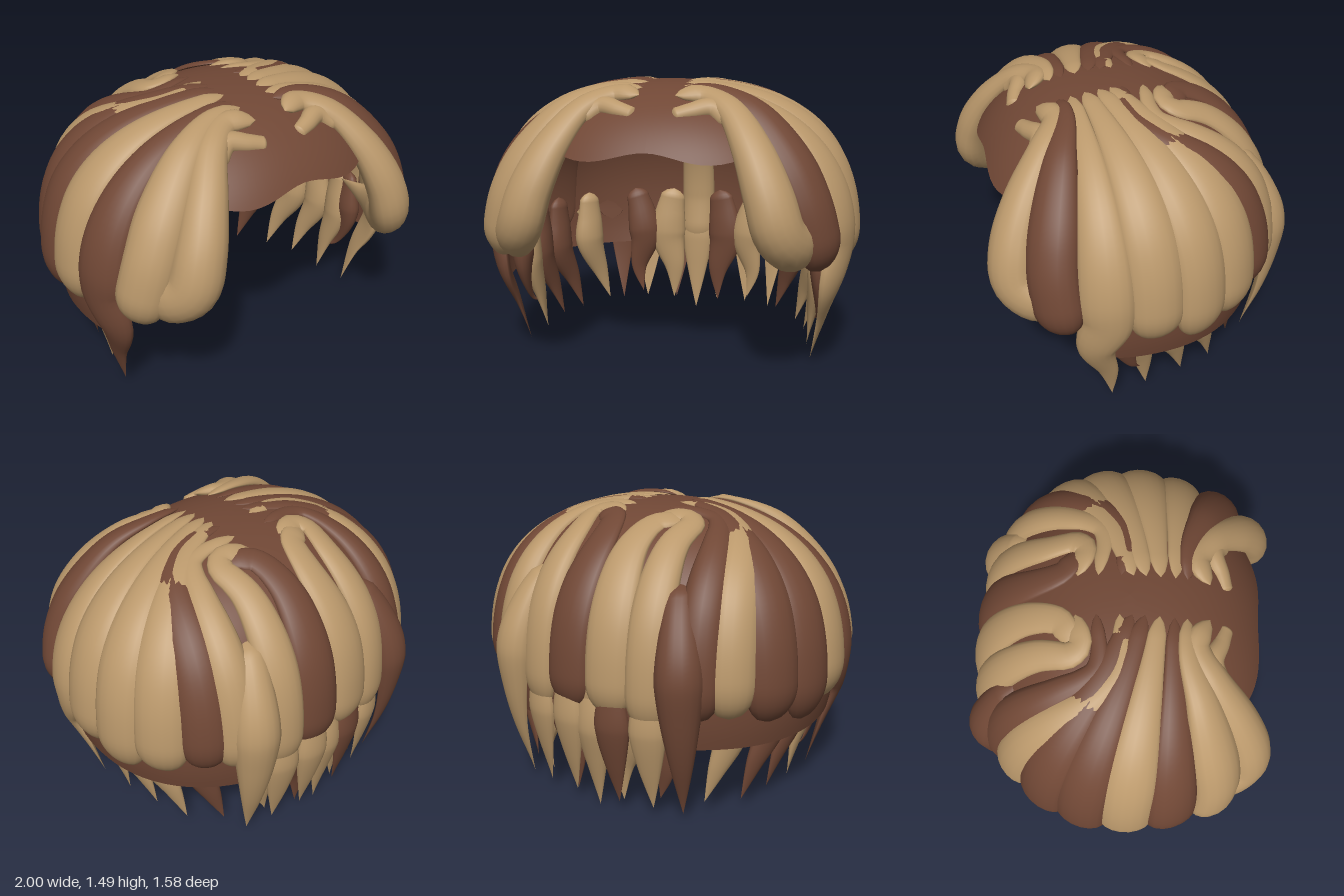
import * as THREE from 'three';

const CY = 0.66, RY = 0.82, CZ = 0.035, RX = 0.92, RZ = 0.775, NP = 2.2, NV = 2.3;
const tan = new THREE.MeshStandardMaterial({ color: 0xba986b });
tan.name = 'tan hair';
const brown = new THREE.MeshStandardMaterial({ color: 0x704735, side: THREE.DoubleSide });
brown.name = 'brown hair';

const V = (x, y, z) => new THREE.Vector3(x, y, z);
const smooth = THREE.MathUtils.smoothstep;

// plan distance from the crown axis: 1 at the widest outline of the head
const planR = (x, z) => Math.pow(Math.pow(Math.abs(x) / RX, NP) + Math.pow(Math.abs(z - CZ) / RZ, NP), 1 / NP);
const toOutline = (x, z, r = 1) => {
  const k = r / planR(x, z);
  return [x * k, CZ + (z - CZ) * k];
};
const onCap = (x, z) => V(x, CY + RY * Math.pow(Math.max(0, 1 - Math.pow(planR(x, z), NV)), 1 / NV), z);
// outline half width at a given depth
const halfWidth = (z) => RX * Math.pow(1 - Math.pow(Math.abs(z - CZ) / RZ, NP), 1 / NP);

function meshGeometry(pos, idx) {
  const g = new THREE.BufferGeometry();
  g.setAttribute('position', new THREE.Float32BufferAttribute(pos, 3));
  g.setIndex(idx);
  g.computeVertexNormals();
  return g;
}

// scalp cap with a high hairline in front and low sides and back
function capGeometry() {
  const cols = 96, rows = 28, pos = [], idx = [];
  for (let j = 0; j <= cols; j++) {
    const th = (j / cols) * Math.PI * 2;
    const a = Math.min(th, Math.PI * 2 - th);
    const hair = 1.145 + 0.025 * Math.cos(a * 7);
    const bottom = THREE.MathUtils.lerp(hair, 0.41, smooth(a, 0.8, 1.35));
    const h = (bottom - CY) / RY;
    const uEnd = Math.acos(Math.sign(h) * Math.pow(Math.abs(h), NV / 2));
    const [ex, ez] = toOutline(Math.sin(th), CZ + Math.cos(th));
    for (let i = 0; i <= rows; i++) {
      const u = uEnd * i / rows, c = Math.cos(u);
      const r = Math.pow(Math.sin(u), 2 / NV);
      pos.push(ex * r, CY + RY * Math.sign(c) * Math.pow(Math.abs(c), 2 / NV), CZ + (ez - CZ) * r);
      if (j < cols && i < rows) {
        const p = j * (rows + 1) + i, q = p + rows + 1;
        idx.push(p, p + 1, q, q, p + 1, q + 1);
      }
    }
  }
  return meshGeometry(pos, idx);
}

// a lock of hair: an oval section swept along a path; blunt, or tapering to a point from the fraction given
function lockGeometry(points, w, t, { taper = 0, root = 0.3, inner = 0.3 } = {}) {
  const curve = new THREE.CatmullRomCurve3(points, false, 'centripetal');
  const rings = 48, sides = 18, pos = [], idx = [];
  for (let i = 0; i <= rings; i++) {
    const s = i / rings, P = curve.getPointAt(s), T = curve.getTangentAt(s);
    const N = V(P.x / RX ** 2, Math.max(0, P.y - CY) / RY ** 2, (P.z - CZ) / RZ ** 2);
    N.addScaledVector(T, -N.dot(T)).normalize();
    const B = T.clone().cross(N);
    let f = root + (1 - root) * smooth(s, 0, Math.min(0.65, taper || 1));
    f *= Math.sqrt(Math.min(1, s / 0.06));
    if (taper && s > taper) f *= 1 - Math.pow((s - taper) / (1 - taper), 1.25);
    if (!taper && s > 0.86) f *= Math.sqrt(Math.max(0, 1 - ((s - 0.86) / 0.14) ** 2));
    f = Math.max(f, 0.002);
    const hw = w * f, ht = t * Math.pow(f, 1.4);
    for (let j = 0; j < sides; j++) {
      const a = (j / sides) * Math.PI * 2, sn = Math.sin(a);
      const v = P.clone().addScaledVector(B, hw * Math.cos(a)).addScaledVector(N, ht * sn * (sn < 0 ? inner : 1));
      pos.push(v.x, v.y, v.z);
      if (i < rings) {
        const p = i * sides + j, q = i * sides + (j + 1) % sides;
        idx.push(p, p + sides, q, q, p + sides, q + sides);
      }
    }
  }
  return meshGeometry(pos, idx);
}

// path that follows a plan curve over the cap to its outline
function overCap(plan) {
  const last = plan[plan.length - 1];
  const [ex, ez] = toOutline(last[0], last[1]);
  const flat = [...plan.slice(0, -1), [ex, ez]].map(([x, z]) => V(x, 0, z));
  const c = new THREE.CatmullRomCurve3(flat, false, 'centripetal');
  const pts = [];
  for (let i = 0; i < 14; i++) {
    const p = c.getPointAt(Math.sin((i / 14) * Math.PI / 2));
    pts.push(onCap(p.x, p.z));
  }
  pts.push(V(ex, CY + 0.02, ez));
  return pts;
}

// the same path, dropping on to a blunt end at endY
function dropTo(plan, endY, tuck = 0.985) {
  const pts = overCap(plan), e = pts[pts.length - 1];
  return [...pts, V(e.x * tuck, endY, CZ + (e.z - CZ) * tuck)];
}

export function createModel() {
  const group = new THREE.Group();
  const add = (name, geo, mat) => {
    const m = new THREE.Mesh(geo, mat);
    m.name = name;
    group.add(m);
  };
  add('scalpCap', capGeometry(), brown);

  for (const s of [1, -1]) {
    const side = s > 0 ? 'left' : 'right';
    const pick = (l, r) => (s > 0 ? l : r);
    const flip = (pts) => pts.map(([x, y, z]) => V(x * s, y, z));
    const flip2 = (plan) => plan.map(([x, z]) => [x * s, z]);

    // front locks sweeping forward from the parting, their points curling back
    add(side + 'FringeLock', lockGeometry(flip([[0.09, 1.42, 0.42], [0.22, 1.42, 0.36], [0.36, 1.36, 0.44],
      [0.49, 1.18, 0.57], [0.58, 0.97, 0.65], [0.63, 0.81, 0.655], [0.68, 0.74, 0.58], [0.73, 0.72, 0.42], [0.73, 0.75, 0.2]]),
      0.13, 0.115, { taper: 0.74, root: 0.45, inner: 0.8 }), tan);
    add(side + 'FringeStrand', lockGeometry(flip([[0.09, 1.33, 0.51], [0.18, 1.35, 0.48], [0.28, 1.36, 0.44],
      [0.38, 1.29, 0.49]]), 0.055, 0.05, { root: 0.7, inner: 1 }), tan);
    add(side + 'TempleLock', lockGeometry(flip([[0.1, 1.45, 0.31], [0.28, 1.44, 0.32], [0.47, 1.35, 0.39],
      [0.64, 1.14, 0.46], [0.75, 0.92, 0.5], [0.8, 0.73, 0.49], [0.82, 0.59, 0.47]]),
      0.135, 0.1, { inner: 0.7 }), pick(brown, tan));

    // long side lock running down to a point
    add(side + 'LongSideLock', lockGeometry([...overCap(flip2([[0.1, 0.25], [0.4, 0.26], [halfWidth(0.28), 0.28]])),
      ...flip([[0.86, 0.5, 0.33], [0.82, 0.28, 0.26], [0.77, 0.05, 0.225]])],
      0.14, 0.085, { taper: 0.6, inner: 0.4 }), pick(tan, brown));

    // side locks fanned from the parting: root z, edge z, end height, colours
    [[0.18, 0.05, 0.54, tan, tan], [0.11, -0.18, 0.49, tan, brown], [0.05, -0.38, 0.53, tan, brown],
    ].forEach(([zr, ze, y, l, r], i) => {
      const plan = flip2([[0.1, zr], [0.4, zr * 0.7 + ze * 0.3], [halfWidth(ze), ze]]);
      add(side + 'SideLock' + (i + 1), lockGeometry(dropTo(plan, y), 0.14, 0.082, { inner: 0.2 }), pick(l, r));
    });

    // locks curling from the crown towards the back corners
    add(side + 'CrownLock', lockGeometry(dropTo(flip2([[0.1, -0.01], [0.36, 0], [0.51, -0.14], [0.66, -0.53]]), 0.57),
      0.125, 0.08, { inner: 0 }), pick(brown, tan));
    add(side + 'CrownInnerLock', lockGeometry(dropTo(flip2([[0.1, -0.12], [0.36, -0.11], [0.45, -0.26], [0.54, -0.62]]), 0.56),
      0.11, 0.08, { inner: 0 }), pick(tan, brown));
    add(side + 'LongBackLock', lockGeometry(flip([[0.38, 1.2, -0.51], [0.43, 1.06, -0.61], [0.47, 0.85, -0.68],
      [0.48, 0.6, -0.69], [0.48, 0.35, -0.67], [0.46, 0.05, -0.61]]),
      0.12, 0.1, { taper: 0.4, root: 0.6, inner: 0.2 }), pick(tan, brown));

    // back locks
    add(side + 'BackLock', lockGeometry(dropTo(flip2([[0.1, -0.22], [0.28, -0.2], [0.28, -0.42], [0.31, -0.7]]), 0.5, 0.99),
      0.11, 0.065, { root: 0.5, inner: -0.1 }), tan);
    add(side + 'NapeLock', lockGeometry(dropTo(flip2([[0.25, -0.24], [0.14, -0.28], [0.09, -0.45], [0.115, -0.73]]), 0.55, 0.99),
      0.125, 0.06, { root: 0.5, inner: -0.1 }), pick(brown, tan));

    // pointed locks below the back locks, outside the cap
    [[0.31, -0.7, tan, tan], [0.13, -0.74, tan, brown]].forEach(([bx, bz, l, r], i) => {
      const [x, z] = toOutline(bx, bz);
      add(side + 'OuterNapeLock' + (i + 1), lockGeometry(flip([[x, 0.72, z], [x, 0.5, z], [x, 0.28, z * 0.97], [x, 0.06, z * 0.92]]),
        0.095, 0.05, { taper: 0.35, root: 0.7, inner: 0 }), pick(l, r));
    });

    // pointed locks under the cap: body x, body z, inset, tip x, tip y, tip z, sideways sway, width, colours
    [[0.9, 0.12, 0.87, 0.74, 0.05, 0.035, 0, 0.09, tan, tan], [0.9, 0.2, 0.9, 0.78, 0.22, 0.08, 0, 0.09, brown, brown],
      [0.9, -0.07, 0.87, 0.71, 0.07, -0.17, 0, 0.09, tan, brown], [0.8, -0.25, 0.87, 0.65, 0.06, -0.35, 0, 0.09, tan, brown],
      [0.66, -0.45, 0.87, 0.52, 0.08, -0.5, 0, 0.09, brown, tan],
      [0.37, -0.66, 0.92, 0.33, 0.1, -0.61, 0.03, 0.1, tan, brown], [0.175, -0.72, 0.92, 0.14, 0.06, -0.65, -0.02, 0.11, brown, tan],
    ].forEach(([bx, bz, inset, tx, ty, tz, sway, w, l, r], i) => {
      const [x, z] = toOutline(bx, bz, inset);
      const path = flip([[x + sway, 0.76, z], [x - sway * 0.4, 0.6, z], [x - sway, 0.45, z],
        [x * 0.5 + tx * 0.5 + sway * 0.6, 0.26, z * 0.4 + tz * 0.6], [tx, ty, tz]]);
      add(side + 'HangingLock' + (i + 1), lockGeometry(path, w, 0.06, { taper: 0.4, root: 0.65, inner: 1 }), pick(l, r));
    });
  }

  // centre back locks
  add('centreBackLock', lockGeometry(dropTo([[0, -0.5], [0, -0.6], [0, -0.73]], 0.4, 0.96),
    0.1, 0.02, { root: 0.8, inner: 3.2 }), tan);
  add('centreHangingLock', lockGeometry([V(0, 0.75, -0.7), V(0, 0.55, -0.71), V(0, 0.3, -0.69), V(0, 0, -0.66)],
    0.095, 0.07, { taper: 0.4, root: 0.6, inner: 0.6 }), tan);
  return group;
}
